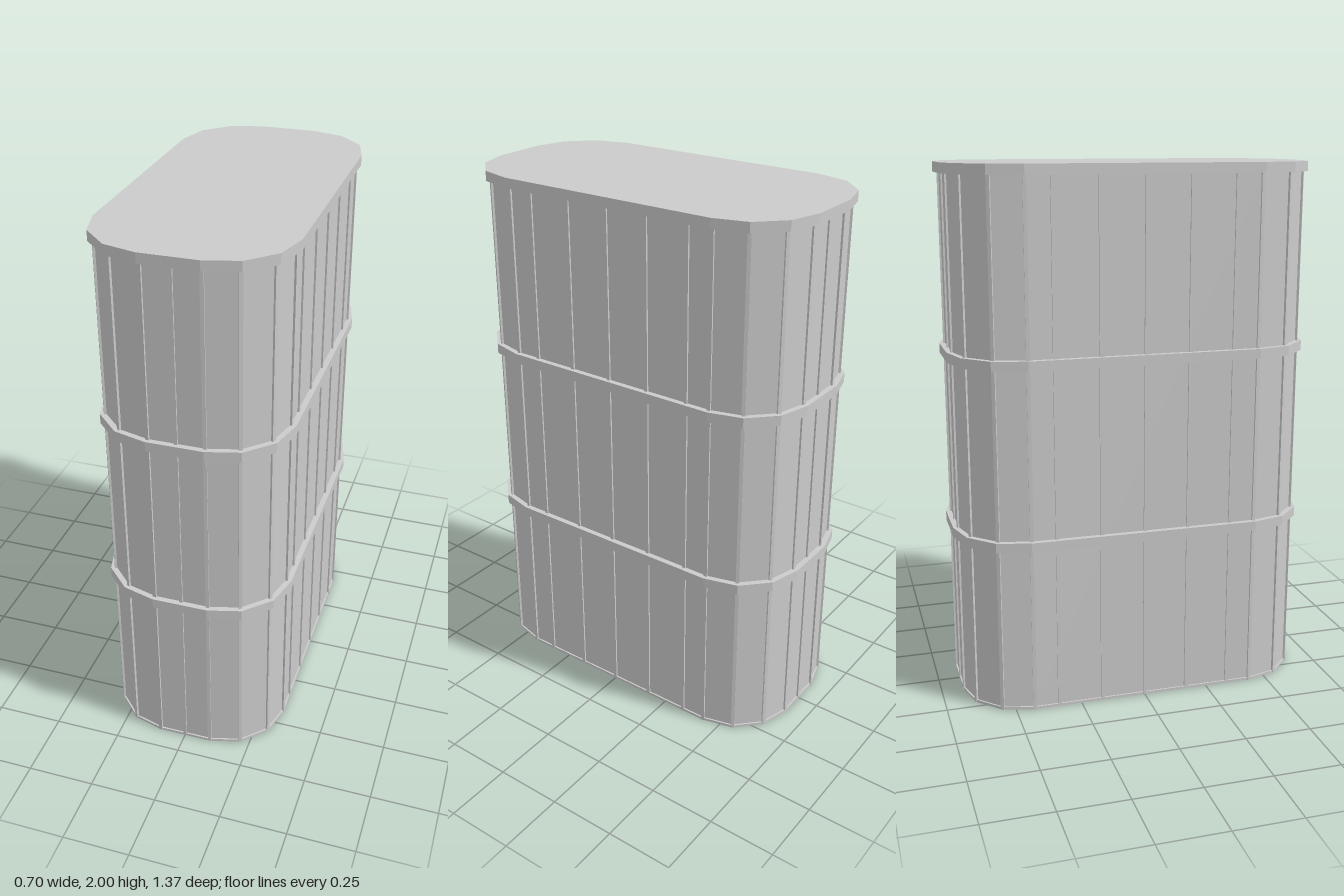
import * as THREE from 'three';

// Quarter outline of the faceted plan, as [x, z]
const QUARTER = [[0.328, 0.43], [0.298, 0.547], [0.212, 0.632], [0.1, 0.662]];
const HEIGHT = 2;
const BAND = 0.037;

// Full closed outline; the offset pushes the points outwards
function outline(offset) {
  const q = QUARTER.map(([x, z], i) => {
    const a = (i * 25 + 8) * Math.PI / 180;
    return [x + offset * Math.cos(a), z + offset * Math.sin(a)];
  });
  const r = [...q].reverse();
  return [
    ...q,
    ...r.map(([x, z]) => [-x, z]),
    ...q.map(([x, z]) => [-x, -z]),
    ...r.map(([x, z]) => [x, -z]),
  ].map(([x, z]) => new THREE.Vector2(x, z));
}

// Vertical extrusion of the outline between two heights
function prism(offset, bottom, top, holeOffset) {
  const shape = new THREE.Shape(outline(offset));
  if (holeOffset !== undefined) shape.holes.push(new THREE.Path(outline(holeOffset)));
  const g = new THREE.ExtrudeGeometry(shape, { depth: top - bottom, bevelEnabled: false });
  return g.rotateX(Math.PI / 2).translate(0, top, 0);
}

export function createModel() {
  const model = new THREE.Group();
  model.name = 'tower';
  const grey = new THREE.MeshStandardMaterial({ color: 0xcccccc, flatShading: true });
  const thin = new THREE.MeshStandardMaterial({ color: 0xcccccc, flatShading: true, side: THREE.DoubleSide });

  const add = (parent, name, geometry, material = grey) => {
    const mesh = new THREE.Mesh(geometry, material);
    mesh.name = name;
    parent.add(mesh);
    return mesh;
  };

  // Glass panels: one open plane per side of the outline
  const points = outline(0);
  const count = points.length;
  const walls = new THREE.Group();
  walls.name = 'wallPanels';
  model.add(walls);
  const normals = points.map((p, i) => {
    const q = points[(i + 1) % count];
    const d = q.clone().sub(p);
    const n = new THREE.Vector2(d.y, -d.x).normalize();
    const panel = add(walls, 'wallPanel', new THREE.PlaneGeometry(d.length(), HEIGHT - BAND), thin);
    panel.position.set((p.x + q.x) / 2, (HEIGHT - BAND) / 2, (p.y + q.y) / 2);
    panel.rotation.y = Math.atan2(n.x, n.y);
    return n;
  });

  // Mullions on every corner and along the long and short flat sides
  const mullions = new THREE.Group();
  mullions.name = 'mullions';
  model.add(mullions);
  const mullionGeometry = new THREE.BoxGeometry(0.013, HEIGHT - BAND, 0.013);
  const addMullion = (x, z, n) => {
    const m = add(mullions, 'mullion', mullionGeometry);
    m.position.set(x, (HEIGHT - BAND) / 2, z);
    m.rotation.y = Math.atan2(n.x, n.y);
  };
  points.forEach((p, i) => {
    addMullion(p.x, p.y, normals[i].clone().add(normals[(i + count - 1) % count]));
  });
  for (const s of [1, -1]) {
    for (const z of [-0.335, -0.167, 0, 0.167, 0.335]) addMullion(s * 0.328, z, new THREE.Vector2(s, 0));
    addMullion(0, s * 0.662, new THREE.Vector2(0, s));
  }

  // Thin rim around the open base
  add(model, 'baseRim', prism(0.006, 0, 0.01, -0.006));

  // Two floor bands and the roof slab
  for (let i = 1; i <= 3; i++) {
    const top = HEIGHT * i / 3;
    add(model, i === 3 ? 'roofSlab' : 'floorBand', prism(0.021, top - BAND, top));
  }
  return model;
}
